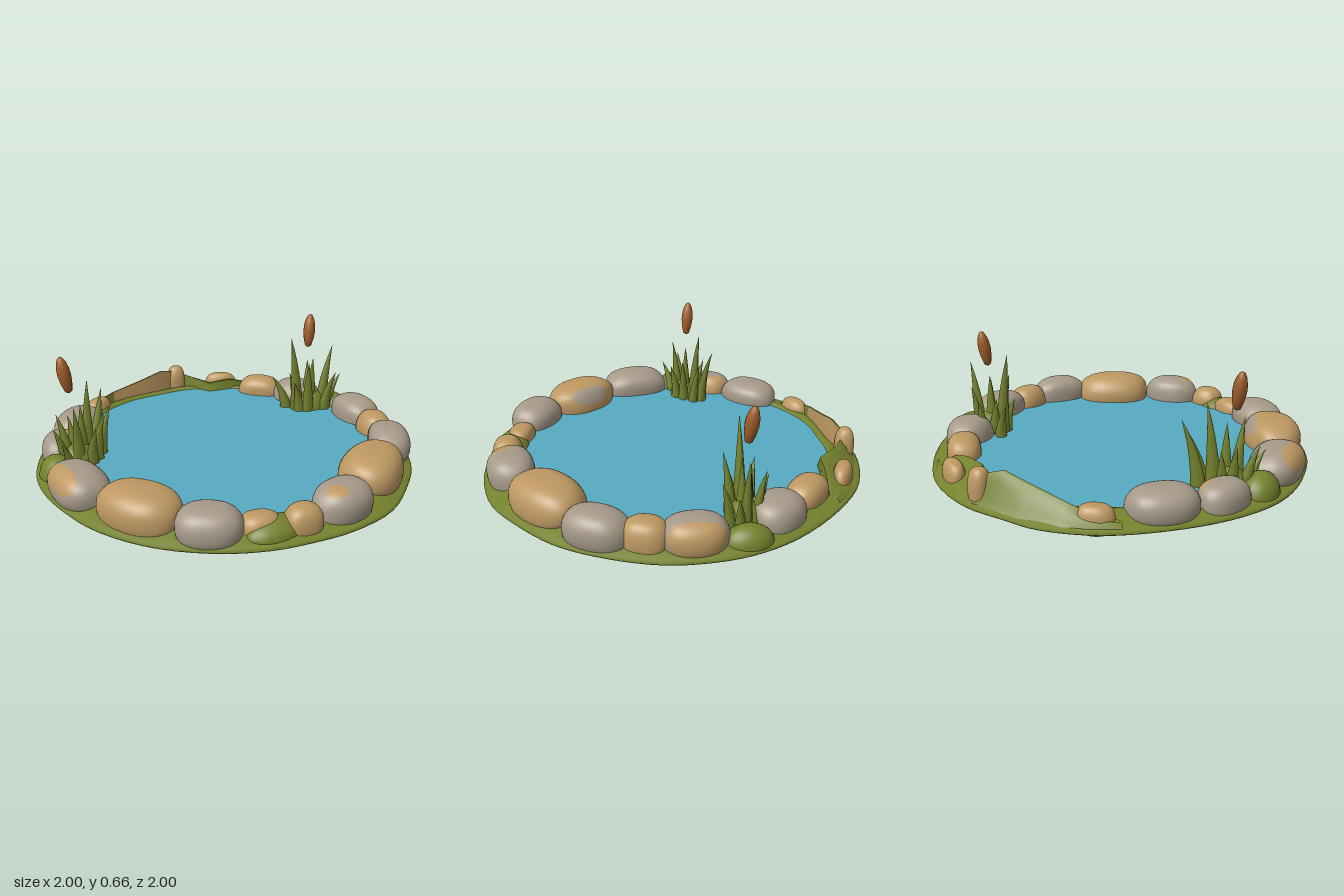
import * as THREE from 'three';
import { mergeVertices } from 'three/addons/utils/BufferGeometryUtils.js';

const mat = (name, color, side = THREE.FrontSide) => {
  const m = new THREE.MeshStandardMaterial({ color, side });
  m.name = name;
  return m;
};

export function createModel() {
  const root = new THREE.Group();
  root.name = 'gardenPond';
  const green = mat('mossGreen', 0x74822d, THREE.DoubleSide);
  const blue = mat('waterBlue', 0x57abc1);
  const tan = mat('sandstone', 0xbd9862, THREE.DoubleSide);
  const grey = mat('greyStone', 0xa69a89);
  const brown = mat('soilBrown', 0xa45f28);
  const rust = mat('cattailBrown', 0xa05e2a);

  const add = (name, geo, material, parent = root) => {
    const m = new THREE.Mesh(geo, material);
    m.name = name;
    parent.add(m);
    return m;
  };
  const weld = (geo) => {
    geo.deleteAttribute('uv');
    geo.deleteAttribute('normal');
    const g = mergeVertices(geo, 1e-5);
    g.computeVertexNormals();
    return g;
  };
  // Surface through rows of points; each row has the same number of points
  const loft = (rows) => {
    const n = rows[0].length, index = [];
    for (let i = 0; i < rows.length - 1; i++)
      for (let j = 0; j < n - 1; j++) {
        const a = i * n + j, b = a + n;
        index.push(a, b, a + 1, b, b + 1, a + 1);
      }
    const g = new THREE.BufferGeometry();
    g.setAttribute('position', new THREE.Float32BufferAttribute(rows.flat(2), 3));
    g.setIndex(index);
    return weld(g);
  };

  // Outline of the pond seen from above (x, z)
  const outline = new THREE.CatmullRomCurve3([
    [0, -1], [0.22, -0.99], [0.5, -0.88], [0.72, -0.68], [0.9, -0.42], [0.98, -0.2], [1, 0],
    [0.98, 0.2], [0.9, 0.42], [0.76, 0.65], [0.57, 0.82], [0.36, 0.95], [0.1, 0.995], [-0.1, 0.98],
    [-0.3, 0.94], [-0.52, 0.84], [-0.75, 0.65], [-0.91, 0.4], [-0.98, 0.15], [-1, -0.05],
    [-0.97, -0.25], [-0.85, -0.5], [-0.65, -0.74], [-0.45, -0.9], [-0.2, -0.995],
  ].map(([x, z]) => new THREE.Vector3(x, 0, z)), true).getPoints(96);

  // Grassy rim
  const section = [[0.83, 0.03], [0.96, 0.032], [0.995, 0.042], [1, 0.05], [0.99, 0.062], [0.94, 0.075],
    [0.87, 0.1], [0.84, 0.1], [0.82, 0.07]];
  add('grassRim', loft(outline.map((p) => section.map(([s, y]) => [p.x * s, y, p.z * s]))), green);

  // Water surface and soil underneath
  const disc = (s, sign) => new THREE.ShapeGeometry(
    new THREE.Shape(outline.slice(0, -1).map((p) => new THREE.Vector2(p.x * s, sign * p.z * s))));
  add('water', disc(0.87, -1).rotateX(-Math.PI / 2).translate(0, 0.09, 0), blue);
  add('soilBottom', disc(0.86, 1).rotateX(Math.PI / 2).translate(0, 0.026, 0), brown);

  // Rounded boulder; local x runs along the rim, local z points outward.
  // Faces near the patch direction take the other stone colour.
  const stones = new THREE.Group();
  stones.name = 'stoneRing';
  root.add(stones);
  const boulder = (x, z, len, wid, top, isTan, seed, patch, cut) => {
    const g = new THREE.SphereGeometry(1, 40, 24), p = g.attributes.position, v = new THREE.Vector3();
    const bottom = 0.004, pow = (c, e) => Math.sign(c) * Math.abs(c) ** e;
    const dirs = [];
    for (let i = 0; i < p.count; i++) {
      v.fromBufferAttribute(p, i);
      dirs.push(v.clone());
      const r = Math.hypot(v.x, v.z) || 1, k = r ** 0.68;
      const w = 1 + 0.035 * Math.sin(3 * v.x + seed) + 0.03 * Math.sin(4 * v.z + 2 * v.y + seed * 2);
      p.setXYZ(i, pow(v.x / r, 0.88) * k * len * w,
        (top + bottom) / 2 + pow(v.y, 0.9) * (top - bottom) / 2,
        pow(v.z / r, 0.88) * k * wid * w);
    }
    const d = new THREE.Vector3(...patch).normalize(), base = [], spot = [], ix = g.index.array;
    for (let i = 0; i < ix.length; i += 3) {
      const f = [ix[i], ix[i + 1], ix[i + 2]];
      v.set(0, 0, 0);
      f.forEach((q) => v.add(dirs[q]));
      (v.normalize().dot(d) > cut ? spot : base).push(...f);
    }
    g.setIndex([...base, ...spot]);
    g.addGroup(0, base.length, 0);
    g.addGroup(base.length, spot.length, 1);
    const m = add(isTan ? 'sandstoneBoulder' : 'greyBoulder', weld(g), isTan ? [tan, grey] : [grey, tan], stones);
    m.position.set(x, 0, z);
    m.rotation.y = Math.atan2(x, z);
  };
  // x, z, half length, half width, top, tan?
  const list = [
    [-0.39, -0.83, 0.09, 0.06, 0.15, 1], [-0.6, -0.6, 0.18, 0.12, 0.2, 0],
    [-0.79, -0.38, 0.13, 0.1, 0.19, 0], [-0.86, 0.08, 0.19, 0.13, 0.22, 0],
    [-0.7, 0.43, 0.215, 0.15, 0.23, 1], [-0.49, 0.71, 0.165, 0.12, 0.21, 0],
    [-0.28, 0.8, 0.1, 0.075, 0.16, 1], [-0.1, 0.87, 0.09, 0.08, 0.185, 1],
    [0.14, 0.85, 0.165, 0.12, 0.22, 0], [0.47, 0.67, 0.22, 0.15, 0.235, 1],
    [0.75, 0.47, 0.16, 0.115, 0.22, 0], [0.83, 0.26, 0.11, 0.09, 0.2, 1],
    [0.87, 0.04, 0.165, 0.11, 0.21, 0], [0.74, -0.38, 0.14, 0.125, 0.2, 0],
    [0.6, -0.57, 0.13, 0.09, 0.19, 1], [0.45, -0.81, 0.1, 0.05, 0.165, 1],
    [0.18, -0.92, 0.06, 0.05, 0.225, 1],
  ];
  // Weathered patches; other sandstones are grey underneath
  const patches = {
    2: [[-0.4, 0.5, -0.7], 0.75], 3: [[0, 0.65, 0.75], 0.8], 4: [[0.1, 0.6, -0.8], 0.88],
    8: [[-0.4, 0.9, 0.2], 0.95], 12: [[0, 0.35, 0.9], 0.6],
  };
  list.forEach((s, i) => boulder(...s, i * 1.7, ...(patches[i] || [[0, -1, 0], s[5] ? 0.6 : 1])));

  // Raised bank at the back: inner edge x, z and height, falling to the rim
  const bank = [[-0.5, -0.78, 0.08], [-0.38, -0.86, 0.12], [-0.27, -0.87, 0.15], [-0.08, -0.87, 0.19],
    [0.06, -0.875, 0.225], [0.18, -0.91, 0.19], [0.25, -0.84, 0.16], [0.32, -0.72, 0.14],
    [0.44, -0.7, 0.15], [0.53, -0.69, 0.13], [0.62, -0.68, 0.08]];
  const bankRow = (profile) => ([x, z, h]) => {
    const r = Math.hypot(x, z), R = outline.reduce((b, p) => {
      const d = (p.x * x + p.z * z) / (p.length() * r);
      return d > b[0] ? [d, p.length()] : b;
    }, [-1, 1])[1] * 0.985;
    return profile(h).map(([t, y]) => {
      const k = (r + (R - r) * t) / r;
      return [x * k, y, z * k];
    });
  };
  const face = bankRow((h) => [[0, 0.07], [0.01, h * 0.6], [0.07, h]]);
  const slope = bankRow((h) => [[0.07, h], [0.2, h * 0.98], [0.45, h * 0.8], [0.75, 0.09], [1, 0.058]]);
  add('backBankTop', loft(bank.map(slope)), green);
  add('backBankStoneFace', loft(bank.slice(2, 6).map(face)), tan);
  add('backBankFaceRight', loft(bank.slice(0, 3).map(face)), green);
  add('backBankFaceLeft', loft(bank.slice(5).map(face)), green);

  // Mossy mounds: x, z, radius x, radius z, top
  [[-0.88, -0.17, 0.09, 0.12, 0.17], [-0.74, -0.22, 0.1, 0.09, 0.19], [0.89, -0.2, 0.08, 0.12, 0.15],
    [0.74, -0.22, 0.1, 0.09, 0.19], [-0.22, 0.84, 0.16, 0.09, 0.14]].forEach(([x, z, a, b, top]) =>
    add('mossMound', new THREE.SphereGeometry(1, 20, 8, 0, Math.PI * 2, 0, Math.PI / 2)
      .scale(a, top - 0.06, b).translate(x, 0.06, z), green));

  // Broad curved grass blade from the tuft centre to a tip
  const blade = (parent, cx, cz, tx, ty, tz) => {
    const g = new THREE.ConeGeometry(1, 1, 6, 6, true).translate(0, 0.5, 0), p = g.attributes.position;
    const bx = cx + (tx - cx) * 0.6, bz = cz + (tz - cz) * 0.6, w = 0.034 + ty * 0.012;
    for (let i = 0; i < p.count; i++) {
      const t = p.getY(i), c = t ** 1.8, k = w * (1 + 0.5 * t);
      p.setXYZ(i, bx + (tx - bx) * c + p.getX(i) * k, 0.07 + (ty - 0.07) * t,
        bz + (tz - bz) * c + p.getZ(i) * k * 0.85);
    }
    add('blade', weld(g), green, parent);
  };
  const tuft = (name, cx, cz, tips) => {
    const g = new THREE.Group();
    g.name = name;
    root.add(g);
    tips.forEach((tip) => blade(g, cx, cz, ...tip));
  };
  tuft('rightGrassTuft', -0.72, -0.22, [[-0.65, 0.5, -0.29], [-0.78, 0.42, -0.15], [-0.55, 0.42, -0.35],
    [-0.54, 0.34, -0.27], [-0.72, 0.4, -0.22], [-0.88, 0.31, -0.2], [-0.61, 0.35, -0.18],
    [-0.82, 0.33, -0.32], [-0.68, 0.3, -0.12], [-0.87, 0.26, -0.1], [-0.75, 0.3, -0.34]]);
  tuft('leftGrassTuft', 0.72, -0.22, [[0.58, 0.55, -0.22], [0.52, 0.29, -0.32], [0.65, 0.4, -0.13],
    [0.73, 0.4, -0.2], [0.77, 0.35, -0.31], [0.87, 0.46, -0.2], [0.9, 0.29, -0.15],
    [0.62, 0.3, -0.28], [0.82, 0.33, -0.09], [0.58, 0.28, -0.17], [0.7, 0.29, -0.34]]);

  // Cattail heads
  const head = new THREE.LatheGeometry([[0.001, -0.098], [0.018, -0.088], [0.029, -0.045], [0.034, 0],
    [0.032, 0.035], [0.025, 0.065], [0.013, 0.09], [0.001, 0.098]].map(([x, y]) => new THREE.Vector2(x, y)), 14);
  [['rightCattail', -0.782, 0.565, 0.16], ['leftCattail', 0.722, 0.56, -0.12]].forEach(([name, x, y, tilt]) => {
    const m = add(name, head, rust);
    m.position.set(x, y, -0.24);
    m.rotation.set(-0.1, 0, tilt);
  });
  return root;
}
